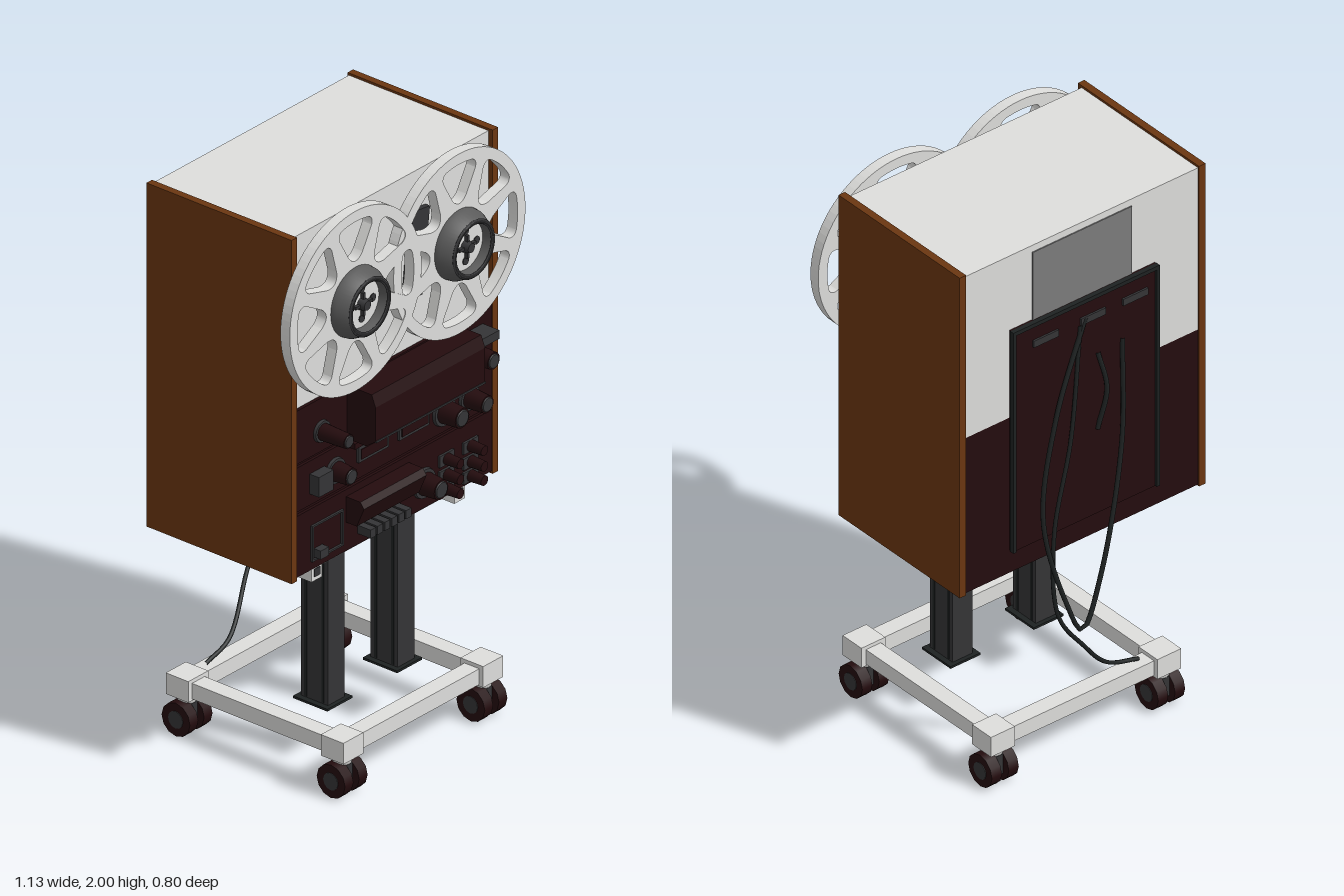
import * as THREE from 'three';

const mat = (name, color) => {
  const m = new THREE.MeshStandardMaterial({ color });
  m.name = name;
  return m;
};

export function createModel() {
  const root = new THREE.Group();
  root.name = 'tapeDeckOnStand';
  const white = mat('white', 0xdededc), wood = mat('wood', 0x6b3611), dark = mat('darkMaroon', 0x240c0e);
  const charcoal = mat('charcoal', 0x343436), grey = mat('grey', 0x7c7c7c), hubGrey = mat('hubGrey', 0x5a5a5a);
  const rubber = mat('rubber', 0x1e2222);

  const add = (name, geo, m, x = 0, y = 0, z = 0, parent = root) => {
    const mesh = new THREE.Mesh(geo, m);
    mesh.name = name;
    mesh.position.set(x, y, z);
    parent.add(mesh);
    return mesh;
  };
  // box given by its limits on each axis
  const box = (name, m, x0, x1, y0, y1, z0, z1, parent = root) =>
    add(name, new THREE.BoxGeometry(x1 - x0, y1 - y0, z1 - z0), m,
      (x0 + x1) / 2, (y0 + y1) / 2, (z0 + z1) / 2, parent);
  // disc or cone facing +z, from z0 to z1
  const disc = (name, m, x, y, z0, z1, rBack, rFront = rBack, parent = root, sides = 32) =>
    add(name, new THREE.CylinderGeometry(rFront, rBack, z1 - z0, sides).rotateX(Math.PI / 2), m,
      x, y, (z0 + z1) / 2, parent);
  // z-y profile extruded along x
  const profile = (name, m, pts, x0, x1) => {
    const s = new THREE.Shape(pts.map(p => new THREE.Vector2(...p)));
    const g = new THREE.ExtrudeGeometry(s, { depth: x1 - x0, bevelEnabled: false });
    return add(name, g.rotateY(-Math.PI / 2), m, x1);
  };
  const tube = (name, pts, r, closed = false) => add(name, new THREE.TubeGeometry(
    new THREE.CatmullRomCurve3(pts.map(p => new THREE.Vector3(...p)), closed), 64, r, 8, closed), rubber);

  // Cabinet
  for (const s of [-1, 1]) box('sidePanel', wood, s * 0.482 - 0.013, s * 0.482 + 0.013, 0.77, 1.978, -0.317, 0.275);
  box('upperBody', white, -0.47, 0.47, 1.36, 1.97, -0.312, 0.257);
  box('lowerBody', dark, -0.47, 0.47, 0.775, 1.36, -0.312, 0.262);
  for (const [y0, y1] of [[0.78, 0.995], [1.01, 1.165], [1.178, 1.365]])
    box('frontPanel', dark, -0.468, 0.468, y0, y1, 0.26, 0.272);

  // Reels with eight windows each
  const reelShape = new THREE.Shape();
  reelShape.absarc(0, 0, 0.316, 0, Math.PI * 2);
  for (let i = 0; i < 8; i++) {
    const a = i * Math.PI / 4, p = (r, t) => [r * Math.cos(a + t), r * Math.sin(a + t)];
    const h = new THREE.Path();
    h.moveTo(...p(0.165, -0.2));
    h.lineTo(...p(0.25, -0.31));
    h.quadraticCurveTo(...p(0.277, -0.31), ...p(0.279, -0.22));
    h.absarc(0, 0, 0.279, a - 0.22, a + 0.22);
    h.quadraticCurveTo(...p(0.277, 0.31), ...p(0.25, 0.31));
    h.lineTo(...p(0.165, 0.2));
    h.quadraticCurveTo(...p(0.12, 0), ...p(0.165, -0.2));
    reelShape.holes.push(h);
  }
  const reelGeo = new THREE.ExtrudeGeometry(reelShape, { depth: 0.038, bevelEnabled: false, curveSegments: 40 });
  for (const s of [-1, 1]) {
    const reel = new THREE.Group();
    reel.name = s < 0 ? 'rightReel' : 'leftReel';
    reel.position.set(s * 0.25, 1.685, s < 0 ? 0.002 : 0);
    root.add(reel);
    add('flange', reelGeo, white, 0, 0, 0.288, reel);
    disc('spindleBase', white, 0, 0, 0.256, 0.289, 0.085, 0.085, reel);
    // hollow tapered hub
    const hubPts = [[0.12, 0.326], [0.118, 0.345], [0.096, 0.388], [0.088, 0.388], [0.082, 0.345]]
      .map(p => new THREE.Vector2(...p));
    const hub = add('hub', new THREE.LatheGeometry(hubPts, 48).rotateX(Math.PI / 2), hubGrey, 0, 0, 0, reel);
    hub.material.side = THREE.DoubleSide;
    const ring = add('hubRing', new THREE.TorusGeometry(0.092, 0.009, 8, 40), charcoal, 0, 0, 0.384, reel);
    ring.scale.z = 0.5;
    disc('hubFace', white, 0, 0, 0.326, 0.35, 0.084, 0.084, reel);
    disc('spindle', charcoal, 0, 0, 0.35, 0.375, 0.022, 0.016, reel);
    for (let i = 0; i < 4; i++) {
      const a = i * Math.PI / 2, c = Math.cos(a), d = Math.sin(a);
      disc('hubHole', charcoal, 0.052 * c, 0.052 * d, 0.35, 0.353, 0.014, 0.014, reel, 16);
      const slot = box('spindleFin', charcoal, -0.018, 0.018, -0.005, 0.005, 0.35, 0.362, reel);
      slot.position.x = 0.022 * c;
      slot.position.y = 0.022 * d;
      slot.rotation.z = a;
    }
  }
  // Dark fittings behind the reels
  const strip = box('tapeGuard', charcoal, -0.04, 0.04, -0.15, 0.15, 0.256, 0.275);
  strip.position.set(0.11, 1.69, 0.266);
  strip.rotation.z = -0.12;
  box('reelFitting', dark, -0.14, -0.07, 1.6, 1.73, 0.256, 0.27);
  box('reelFitting', charcoal, 0.36, 0.42, 1.62, 1.72, 0.256, 0.27);

  // Head cover and transport ledge
  profile('headCover', dark,
    [[0.262, 1.36], [0.372, 1.36], [0.388, 1.32], [0.388, 1.2], [0.35, 1.172], [0.262, 1.172]], -0.225, 0.3);
  box('headCoverTrim', charcoal, -0.225, 0.3, 1.196, 1.202, 0.385, 0.391);
  profile('transportLedge', dark,
    [[0.262, 0.97], [0.33, 0.97], [0.345, 0.95], [0.315, 0.88], [0.262, 0.88]], -0.23, 0.07);
  for (let i = 0; i < 6; i++)
    box('transportKey', charcoal, -0.175 + i * 0.034, -0.149 + i * 0.034, 0.818, 0.848, 0.27, 0.325);

  // Knobs, meters and switches
  const knob = (x, y, r, z1) => {
    disc('knobSkirt', charcoal, x, y, 0.27, 0.282, r, r * 0.95);
    disc('knob', dark, x, y, 0.282, z1, r * 0.75, r * 0.65, root, 20);
    disc('knobCap', charcoal, x, y, z1, z1 + 0.004, r * 0.55, r * 0.5, root, 20);
  };
  knob(-0.35, 1.25, 0.038, 0.385);
  knob(0.35, 1.25, 0.045, 0.38);
  box('lever', charcoal, 0.3, 0.425, 1.285, 1.315, 0.272, 0.34);
  knob(0.235, 1.085, 0.052, 0.35);
  knob(0.355, 1.085, 0.046, 0.35);
  knob(-0.285, 1.085, 0.045, 0.34);
  knob(0.14, 0.87, 0.052, 0.345);
  box('switchBlock', charcoal, -0.405, -0.335, 1.05, 1.12, 0.27, 0.31);
  for (const x of [-0.18, 0.015]) {
    box('meterFrame', charcoal, x, x + 0.145, 1.07, 1.125, 0.27, 0.281);
    box('meterFace', dark, x + 0.01, x + 0.135, 1.08, 1.115, 0.28, 0.284);
  }
  box('meterLedge', dark, -0.22, 0.16, 1.14, 1.16, 0.27, 0.3);
  for (const [y, h] of [[0.81, 0.006], [0.93, 0.006]]) box('counterFrame', charcoal, -0.4, -0.25, y, y + h, 0.27, 0.28);
  for (const x of [-0.4, -0.256]) box('counterFrame', charcoal, x, x + 0.006, 0.81, 0.936, 0.27, 0.28);
  box('counterKey', charcoal, -0.385, -0.345, 0.82, 0.85, 0.27, 0.3);
  for (const x of [0.245, 0.36]) for (const y of [0.81, 0.86, 0.915]) {
    box('buttonPlate', charcoal, x - 0.035, x + 0.035, y - 0.02, y + 0.02, 0.27, 0.28);
    disc('smallKnob', dark, x, y, 0.28, 0.335, 0.02, 0.017, root, 14);
  }

  // Back panel
  box('backVent', grey, -0.2, 0.2, 1.45, 1.945, -0.316, -0.311);
  box('backPlate', dark, -0.295, 0.29, 0.86, 1.69, -0.328, -0.311);
  for (const x of [-0.295, 0.282]) box('backRail', rubber, x, x + 0.012, 0.86, 1.69, -0.336, -0.32);
  box('backTopRail', rubber, -0.295, 0.294, 1.678, 1.692, -0.336, -0.32);
  for (const x of [-0.2, -0.03, 0.16]) box('socketStrip', charcoal, x - 0.05, x + 0.05, 1.6, 1.625, -0.335, -0.327);

  // Cables
  tube('loopCable', [[0, 1.62, -0.33], [0.13, 1.3, -0.345], [0.19, 0.95, -0.355], [0.12, 0.62, -0.385],
    [0.06, 0.5, -0.39], [-0.02, 0.68, -0.385], [-0.13, 1.1, -0.35], [-0.15, 1.48, -0.33]], 0.008);
  tube('powerCable', [[0.02, 1.6, -0.33], [0.07, 1.2, -0.345], [0.15, 0.88, -0.36], [0.14, 0.58, -0.365],
    [0.02, 0.4, -0.345], [-0.13, 0.24, -0.29], [-0.25, 0.2, -0.285]], 0.007);
  tube('shortCable', [[-0.05, 1.47, -0.33], [-0.075, 1.33, -0.345], [-0.05, 1.18, -0.33]], 0.008);

  // Cradle under the cabinet
  box('cradleBar', white, -0.37, 0.365, 0.72, 0.768, 0.07, 0.2);
  for (const x of [-0.345, 0.34]) {
    box('cradleArm', white, x - 0.026, x + 0.026, 0.718, 0.773, -0.205, 0.25);
    box('cradleArmEnd', charcoal, x - 0.014, x + 0.014, 0.732, 0.76, 0.248, 0.253);
  }

  // Columns with grooved faces
  for (const x of [-0.17, 0.165]) {
    box('column', charcoal, x - 0.04, x + 0.04, 0.19, 0.722, 0.07, 0.18);
    for (const z of [0.09, 0.16]) box('columnRib', rubber, x - 0.042, x + 0.042, 0.2, 0.715, z - 0.005, z + 0.005);
    box('columnFoot', rubber, x - 0.06, x + 0.06, 0.188, 0.196, 0.055, 0.195);
  }

  // Base frame and casters
  const zf = 0.345, zb = -0.288;
  for (const z of [zf, zb]) box('baseBar', white, -0.335, 0.335, 0.137, 0.192, z - 0.03, z + 0.03);
  for (const x of [-0.335, 0.335]) {
    box('baseSideBar', white, x - 0.03, x + 0.03, 0.137, 0.192, zb, zf);
    for (const z of [zf, zb]) {
      box('baseCorner', white, x - 0.048, x + 0.048, 0.131, 0.205, z - 0.046, z + 0.046);
      add('casterNeck', new THREE.CylinderGeometry(0.036, 0.028, 0.03, 16), white, x, 0.117, z);
      box('casterFork', charcoal, x - 0.014, x + 0.014, 0.035, 0.108, z - 0.03, z + 0.03);
      for (const d of [-0.034, 0.034]) {
        const wheel = new THREE.CylinderGeometry(0.058, 0.058, 0.04, 12).rotateX(0).rotateZ(Math.PI / 2);
        add('casterWheel', wheel, dark, x + d, 0.058, z);
        add('casterHub', new THREE.CylinderGeometry(0.03, 0.03, 0.044, 12).rotateZ(Math.PI / 2), charcoal, x + d, 0.058, z);
      }
    }
  }

  return root;
}
